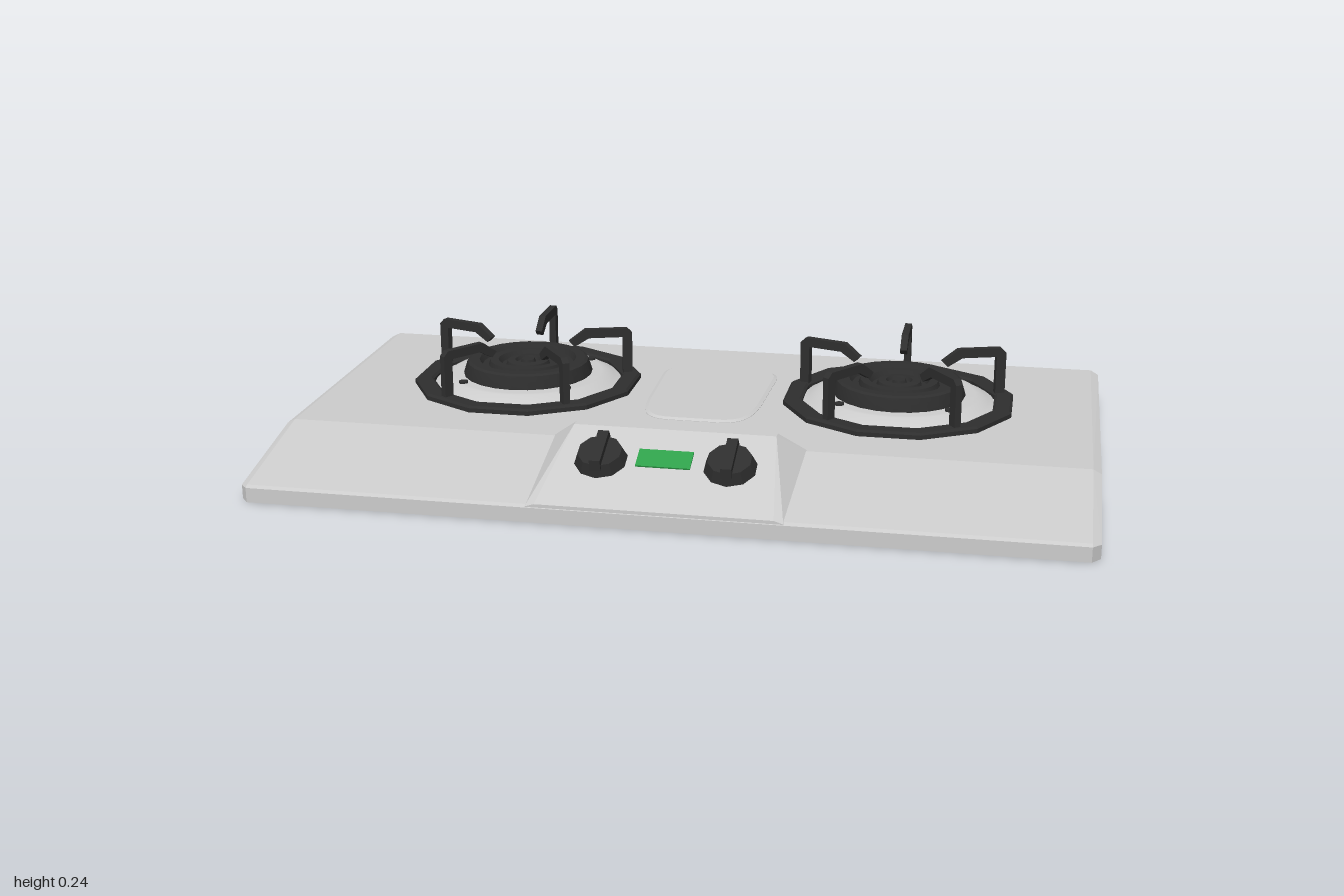
import * as THREE from 'three';
import { toCreasedNormals } from 'three/addons/utils/BufferGeometryUtils.js';
import { ConvexGeometry } from 'three/addons/geometries/ConvexGeometry.js';

const steel = new THREE.MeshStandardMaterial({ color: 0xcccccc });
const iron = new THREE.MeshStandardMaterial({ color: 0x2e2e2e });
const green = new THREE.MeshStandardMaterial({ color: 0x2fa04a });

function add(parent, name, geometry, material, x = 0, y = 0, z = 0) {
  const mesh = new THREE.Mesh(geometry, material);
  mesh.name = name;
  mesh.position.set(x, y, z);
  parent.add(mesh);
  return mesh;
}

// Convex solid from points mirrored across x = 0
function mirroredHull(points) {
  return new ConvexGeometry(points.flatMap(([x, y, z]) =>
    [new THREE.Vector3(x, y, z), new THREE.Vector3(-x, y, z)]));
}

function lathe(profile, segments, phiStart = 0, crease = 0.5) {
  const points = profile.map(([r, y]) => new THREE.Vector2(r, y));
  return toCreasedNormals(new THREE.LatheGeometry(points, segments, phiStart), crease);
}

function shapeOf(points) {
  return new THREE.Shape(points.map(([x, y]) => new THREE.Vector2(x, y)));
}

// One gas burner: drip dish, burner head, outer ring and five pan supports
function createBurner(name) {
  const burner = new THREE.Group();
  burner.name = name;

  add(burner, 'dripDish', lathe([
    [0.25, 0.1], [0.245, 0.108], [0.228, 0.116], [0.207, 0.129], [0.195, 0.13], [0, 0.126],
  ], 40), steel);

  add(burner, 'burnerHead', lathe([
    [0.17, 0.122], [0.17, 0.132], [0.16, 0.163], [0.152, 0.167], [0.128, 0.167], [0.12, 0.152],
    [0.104, 0.152], [0.1, 0.165], [0.078, 0.165], [0.07, 0.15], [0.058, 0.15],
    [0.054, 0.161], [0.034, 0.163], [0.03, 0.154], [0, 0.154],
  ], 24, 0, 0.4), iron);
  add(burner, 'burnerHub', new THREE.CylinderGeometry(0.018, 0.022, 0.012, 6), iron, 0, 0.158, 0);

  add(burner, 'supportRing', lathe([
    [0.299, 0.1], [0.299, 0.114], [0.293, 0.119], [0.257, 0.119], [0.25, 0.114], [0.25, 0.1],
  ], 12, Math.PI / 12, 0.1), iron);

  // Screws on the dish
  for (const sx of [-1, 1]) for (const sz of [-1, 1]) {
    add(burner, 'dishScrew', new THREE.CylinderGeometry(0.012, 0.012, 0.012, 10), iron,
      sx * 0.138, 0.129, sz * 0.133);
  }

  // Hooked pan supports
  const hook = new THREE.ExtrudeGeometry(shapeOf([
    [0.277, 0.105], [0.277, 0.226], [0.264, 0.239], [0.152, 0.239], [0.11, 0.208],
    [0.124, 0.194], [0.162, 0.216], [0.252, 0.216], [0.252, 0.105],
  ]), { depth: 0.018, bevelEnabled: false }).translate(0, 0, -0.009);
  for (let i = 0; i < 5; i++) {
    const arm = add(burner, 'panSupport', hook, iron);
    arm.rotation.y = Math.PI / 2 + i * Math.PI * 2 / 5;
  }
  return burner;
}

function createKnob(name) {
  const knob = new THREE.Group();
  knob.name = name;
  add(knob, 'knobBase', toCreasedNormals(
    new THREE.CylinderGeometry(0.053, 0.064, 0.03, 10), 0.1), iron, 0, 0.014, 0);
  const grip = new THREE.ExtrudeGeometry(shapeOf([
    [-0.06, 0.02], [0.06, 0.02], [0.053, 0.045], [-0.053, 0.045],
  ]), { depth: 0.026, bevelEnabled: false }).translate(0, 0, -0.013).rotateY(Math.PI / 2);
  add(knob, 'knobGrip', grip, iron);
  return knob;
}

export function createModel() {
  const stove = new THREE.Group();
  stove.name = 'gasStove';

  // Body with sloped front, clipped corners and a fine bevel round the top
  add(stove, 'body', mirroredHull([
    [0.98, 0, 0.56], [1, 0, 0.535], [1, 0, -0.535], [0.98, 0, -0.56],
    [0.98, 0.036, 0.56], [1, 0.034, 0.535], [0.98, 0.041, 0.55],
    [1, 0.092, 0.245], [0.98, 0.103, 0.245],
    [1, 0.094, -0.535], [0.98, 0.094, -0.56], [0.98, 0.103, -0.545],
  ]), steel);

  // Shallow plate between the burners, tapering towards the front
  const tray = new THREE.Shape();
  tray.moveTo(-0.09, 0.355);
  tray.lineTo(0.095, 0.355);
  tray.quadraticCurveTo(0.148, 0.355, 0.148, 0.3);
  tray.lineTo(0.142, 0.08);
  tray.bezierCurveTo(0.135, -0.03, 0.12, -0.068, 0.06, -0.068);
  tray.lineTo(-0.055, -0.068);
  tray.bezierCurveTo(-0.115, -0.068, -0.13, -0.03, -0.137, 0.08);
  tray.lineTo(-0.143, 0.3);
  tray.quadraticCurveTo(-0.143, 0.355, -0.09, 0.355);
  const trayGeometry = new THREE.ExtrudeGeometry(tray, {
    depth: 0.003, bevelThickness: 0.004, bevelSize: 0.009, bevelSegments: 1, curveSegments: 10,
  }).rotateX(-Math.PI / 2);
  add(stove, 'centrePlate', toCreasedNormals(trayGeometry, 0.4), steel, 0, 0.101, 0);

  // Raised control panel
  add(stove, 'controlPanel', mirroredHull([
    [0.31, 0.08, 0.238], [0.31, 0.103, 0.238], [0.3, 0.02, 0.558], [0.3, 0.038, 0.558],
    [0.245, 0.155, 0.278], [0.245, 0.155, 0.3], [0.278, 0.045, 0.558],
  ]), steel);

  // Controls lie in the plane of the sloping panel
  const controls = new THREE.Group();
  controls.name = 'controls';
  controls.position.set(0, 0.155, 0.3);
  controls.rotation.x = Math.atan2(0.11, 0.258);
  stove.add(controls);
  add(controls, 'display', new THREE.BoxGeometry(0.13, 0.006, 0.058), green, -0.004, 0.001, 0.105);
  for (const [side, name] of [[1, 'leftKnob'], [-1, 'rightKnob']]) {
    const knob = createKnob(name);
    knob.position.set(side * 0.154, 0, 0.118);
    controls.add(knob);
  }

  for (const [side, name] of [[1, 'leftBurner'], [-1, 'rightBurner']]) {
    const burner = createBurner(name);
    burner.position.set(side * 0.492, 0, -0.175);
    stove.add(burner);
  }
  return stove;
}
